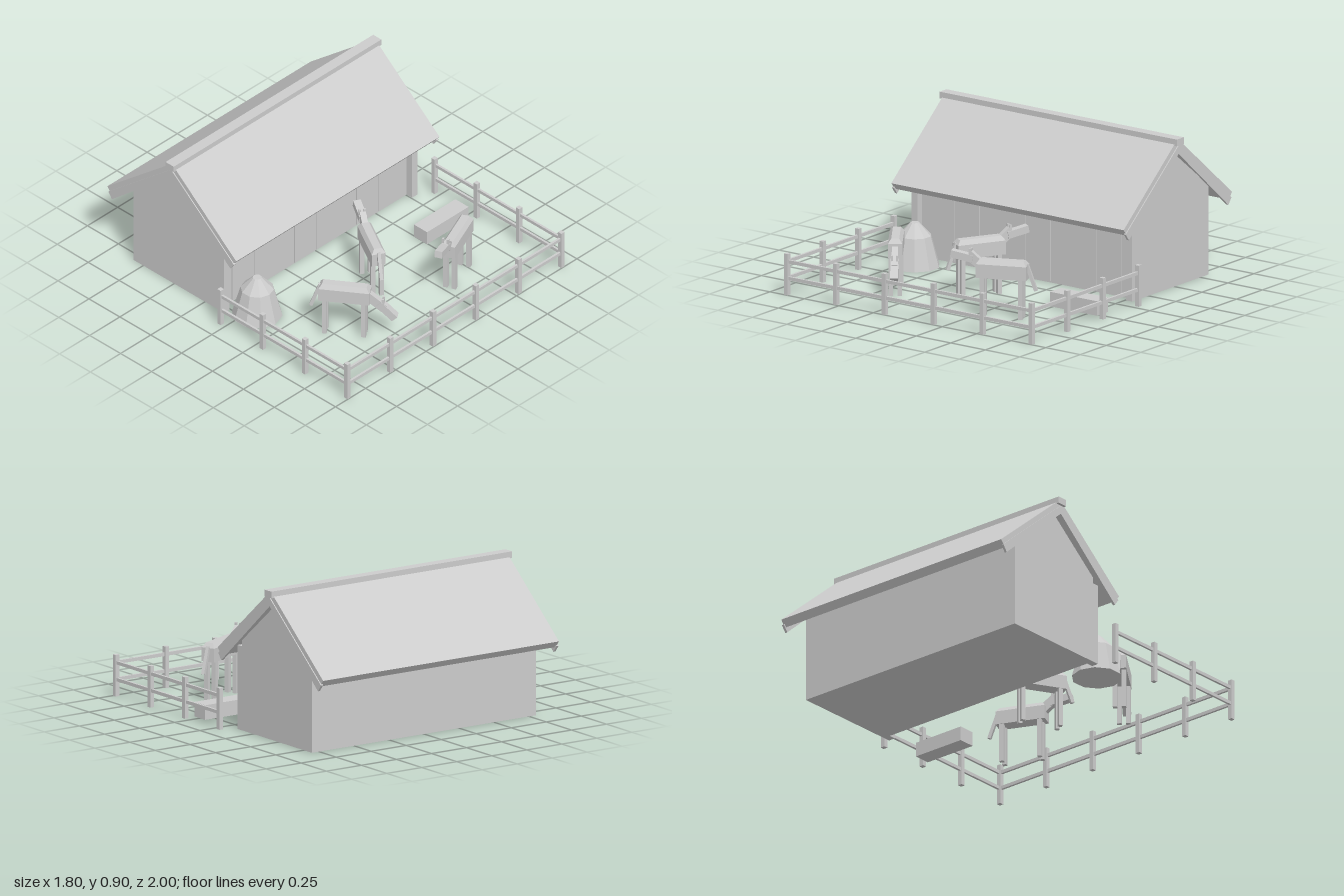
import * as THREE from 'three';

const grey = new THREE.MeshStandardMaterial({ color: 0xcccccc });
grey.name = 'pale grey';

function add(parent, name, geometry) {
  const mesh = new THREE.Mesh(geometry, grey);
  mesh.name = name;
  parent.add(mesh);
  return mesh;
}

// Box given by its limits on each axis
function box(parent, name, x0, x1, y0, y1, z0, z1) {
  const m = add(parent, name, new THREE.BoxGeometry(x1 - x0, y1 - y0, z1 - z0));
  m.position.set((x0 + x1) / 2, (y0 + y1) / 2, (z0 + z1) / 2);
  return m;
}

// Outline of [z, y] points swept along x from x0 to x1
function sweep(parent, name, points, x0, x1) {
  const shape = new THREE.Shape(points.map(([z, y]) => new THREE.Vector2(z, y)));
  const g = new THREE.ExtrudeGeometry(shape, { depth: x1 - x0, bevelEnabled: false });
  g.rotateY(-Math.PI / 2).translate(x1, 0, 0);
  return add(parent, name, g);
}

// Slanted bar in the local xy plane
function bar(parent, name, [ax, ay], [bx, by], thick, width, z = 0) {
  const m = add(parent, name, new THREE.BoxGeometry(Math.hypot(bx - ax, by - ay), thick, width));
  m.position.set((ax + bx) / 2, (ay + by) / 2, z);
  m.rotation.z = Math.atan2(by - ay, bx - ax);
  return m;
}

const RIDGE = -0.478;

function makeBarn() {
  const barn = new THREE.Group();
  barn.name = 'barn';
  // Walls and gables
  box(barn, 'walls', -0.8, 0.8, 0, 0.537, -0.83, -0.14);
  sweep(barn, 'gables', [[-0.83, 0.537], [-0.14, 0.537], [RIDGE, 0.815]], -0.8, 0.8);

  // Mirrored outline around the ridge, from the half in front of it
  const chevron = half => [...half, ...half.slice(1, -1).reverse().map(([z, y]) => [2 * RIDGE - z, y])];
  sweep(barn, 'roof', chevron([[RIDGE, 0.9], [0.043, 0.466], [0.01, 0.426], [RIDGE, 0.838]]), -0.842, 0.842);
  for (const x of [-0.848, 0.833]) {
    sweep(barn, 'bargeboard', chevron([[RIDGE, 0.86], [0.03, 0.437], [0, 0.397], [RIDGE, 0.81]]), x, x + 0.015);
  }
  box(barn, 'ridgeCap', -0.86, 0.86, 0.865, 0.905, RIDGE - 0.033, RIDGE + 0.033);

  // Corner posts and three double doors
  for (const s of [-1, 1]) {
    box(barn, 'cornerPost', s * 0.778 - 0.022, s * 0.778 + 0.022, 0, 0.5, -0.14, -0.095);
  }
  for (const x of [-0.515, 0, 0.515]) {
    for (const s of [-1, 1]) {
      const c = x + s * 0.09;
      box(barn, 'door', c - 0.088, c + 0.088, 0.01, 0.44, -0.14, -0.132);
    }
  }
  return barn;
}

function makeFence() {
  const fence = new THREE.Group();
  fence.name = 'fence';
  const X = 0.886, FRONT = 0.985, BACK = -0.04;
  const post = (x, z) => box(fence, 'fencePost', x - 0.0135, x + 0.0135, 0, 0.247, z - 0.0135, z + 0.0135);
  for (let i = 0; i < 6; i++) post(-X + (i * 2 * X) / 5, FRONT);
  for (const x of [-X, X]) {
    for (let i = 0; i < 3; i++) post(x, BACK + (i * (FRONT - BACK)) / 3);
  }
  for (const y of [0.1, 0.2]) {
    box(fence, 'frontRail', -X, X, y - 0.01, y + 0.01, FRONT - 0.007, FRONT + 0.007);
    for (const x of [-X, X]) box(fence, 'sideRail', x - 0.007, x + 0.007, y - 0.01, y + 0.01, BACK, FRONT);
  }
  return fence;
}

function makeHorse(x, z, dx, dz, grazing) {
  const horse = new THREE.Group();
  horse.name = 'horse';
  horse.position.set(x, 0, z);
  horse.rotation.y = Math.atan2(-dz, dx);

  // Trunk with bevelled back
  box(horse, 'trunk', -0.15, 0.15, 0.235, 0.318, -0.042, 0.042);
  const g = new THREE.BoxGeometry(0.3, 0.027, 0.084);
  const p = g.attributes.position;
  for (let i = 0; i < p.count; i++) {
    if (p.getY(i) > 0) p.setXYZ(i, p.getX(i) * 0.87, p.getY(i), p.getZ(i) * 0.55);
  }
  const flat = g.toNonIndexed();
  flat.computeVertexNormals();
  add(horse, 'back', flat).position.y = 0.3315;

  for (const lx of [-0.115, 0.115]) {
    for (const lz of [-0.026, 0.026]) {
      box(horse, 'leg', lx - 0.013, lx + 0.013, 0, 0.24, lz - 0.013, lz + 0.013);
    }
  }
  bar(horse, 'tail', [-0.145, 0.325], [-0.2, 0.17], 0.02, 0.02);

  // Neck, head and ears
  if (grazing) {
    bar(horse, 'neck', [0.11, 0.3], [0.235, 0.2], 0.055, 0.036);
    bar(horse, 'head', [0.2, 0.235], [0.295, 0.14], 0.045, 0.046);
  } else {
    bar(horse, 'neck', [0.1, 0.28], [0.2, 0.365], 0.055, 0.036);
    bar(horse, 'head', [0.175, 0.34], [0.305, 0.365], 0.043, 0.046);
  }
  const [ex, ey] = grazing ? [0.225, 0.235] : [0.19, 0.365];
  for (const s of [-1, 1]) {
    bar(horse, 'ear', [ex, ey], [ex, ey + 0.035], 0.014, 0.012, s * 0.015);
  }
  return horse;
}

export function createModel() {
  const model = new THREE.Group();
  model.name = 'stable';
  model.add(makeBarn(), makeFence());
  model.add(makeHorse(-0.44, 0.53, 0.57, 0.82, true));
  model.add(makeHorse(0, 0.315, 0.49, -0.87, false));
  model.add(makeHorse(0.4, 0.62, -0.92, 0.39, false));

  // Faceted haystack
  const hay = new THREE.LatheGeometry(
    [[0, 0], [0.148, 0], [0.098, 0.185], [0.026, 0.262], [0, 0.262]].map(([r, y]) => new THREE.Vector2(r, y)), 10
  ).toNonIndexed();
  hay.computeVertexNormals();
  add(model, 'haystack', hay).position.set(-0.67, 0, 0.045);

  box(model, 'trough', 0.49, 0.833, 0.005, 0.092, 0.18, 0.286);
  return model;
}
